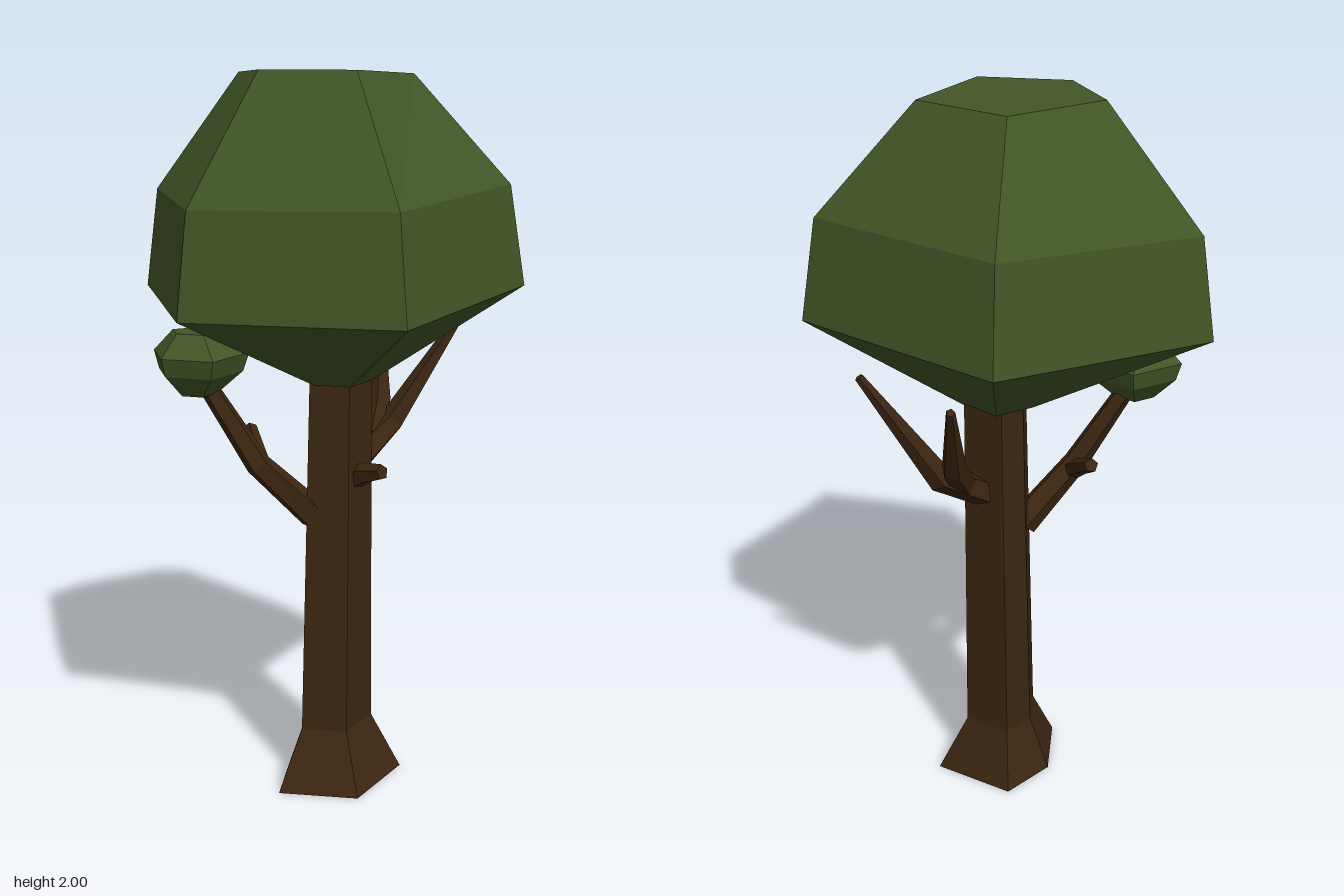
import * as THREE from 'three';

const bark = new THREE.MeshStandardMaterial({ color: 0x3c2611 });
bark.name = 'bark brown';
const leaf = new THREE.MeshStandardMaterial({ color: 0x425627 });
leaf.name = 'leaf green';

// Closed, faceted skin over a stack of rings (Vector3 lists of equal length)
function loft(rings) {
  const pos = [];
  const tri = (...pts) => pts.forEach((p) => pos.push(p.x, p.y, p.z));
  const n = rings[0].length;
  for (let k = 0; k < rings.length - 1; k++) {
    const a = rings[k], b = rings[k + 1];
    for (let i = 0; i < n; i++) {
      const j = (i + 1) % n;
      tri(a[i], b[i], a[j]);
      tri(a[j], b[i], b[j]);
    }
  }
  const low = rings[0], top = rings[rings.length - 1];
  for (let i = 1; i < n - 1; i++) {
    tri(low[0], low[i], low[i + 1]);
    tri(top[0], top[i + 1], top[i]);
  }
  const g = new THREE.BufferGeometry();
  g.setAttribute('position', new THREE.Float32BufferAttribute(pos, 3));
  g.computeVertexNormals();
  return g;
}

// Outline of [x, z] pairs, scaled and shifted, at height y(x)
const ring = (outline, y, scale = 1, dx = 0, dz = 0, tilt = 0) =>
  outline.map(([x, z]) => new THREE.Vector3(x * scale + dx, y + x * tilt, z * scale + dz));

// Tapering limb through points [x, y, z, radius]
function limb(path, sides = 5) {
  const pts = path.map((p) => new THREE.Vector3(p[0], p[1], p[2]));
  return loft(pts.map((c, k) => {
    const before = pts[Math.max(k - 1, 0)], after = pts[Math.min(k + 1, pts.length - 1)];
    const t = after.clone().sub(before).normalize();
    const u = new THREE.Vector3(0, 0, 1).addScaledVector(t, -t.z).normalize();
    const v = u.clone().cross(t);
    return Array.from({ length: sides }, (_, i) => {
      const a = (i / sides) * Math.PI * 2;
      return c.clone()
        .addScaledVector(u, Math.cos(a) * path[k][3])
        .addScaledVector(v, Math.sin(a) * path[k][3]);
    });
  }));
}

export function createModel() {
  const tree = new THREE.Group();
  tree.name = 'tree';
  const add = (name, geometry, material) => {
    const m = new THREE.Mesh(geometry, material);
    m.name = name;
    tree.add(m);
  };

  // Five-sided trunk with flared foot
  const foot = [[-0.145, 0], [0.03, -0.09], [0.19, -0.05], [0.2, 0.19], [-0.04, 0.2]];
  add('trunk', loft([
    ring(foot, 0),
    ring(foot, 0.17, 0.57, 0.0275, 0.016),
    ring(foot, 1.25, 0.475, 0.04, 0.025),
  ]), bark);

  // Forked limb on the left, with a short stub towards the front
  add('leftLimb', limb([[0.06, 0.9, 0.06, 0.045], [0.27, 1.03, 0.1, 0.038], [0.415, 1.34, 0.24, 0.012]]), bark);
  add('leftFork', limb([[0.2, 0.99, 0.08, 0.036], [0.29, 1.08, 0.045, 0.034], [0.41, 1.305, -0.035, 0.012]]), bark);
  add('frontStub', limb([[0.08, 0.89, 0.07, 0.038], [0.06, 0.93, 0.15, 0.03], [0.05, 0.945, 0.21, 0.022]]), bark);

  // Bent limb on the right, with a twig towards the back
  add('rightLimb', limb([[0.0, 0.8, 0.02, 0.045], [-0.13, 0.96, -0.075, 0.036], [-0.21, 1.2, -0.2, 0.026]]), bark);
  add('backTwig', limb([[-0.12, 0.94, -0.07, 0.03], [-0.07, 0.985, -0.13, 0.024], [-0.02, 1.025, -0.19, 0.02]]), bark);

  // Crown: tilted five-sided rings
  const wide = [[-0.1, -0.49], [0.47, -0.2], [0.375, 0.45], [-0.28, 0.485], [-0.47, -0.06]];
  const flatTop = [[-0.04, -0.2], [0.225, -0.085], [0.185, 0.205], [-0.12, 0.23], [-0.2, -0.01]];
  add('crown', loft([
    ring(wide, 1.18, 0.18, 0.05, 0.05),
    ring(wide, 1.42, 1, 0, 0, 0.045),
    ring(wide, 1.69, 0.92, 0, 0, 0.045),
    ring(flatTop, 1.995, 1, 0, 0, -0.02),
  ]), leaf);

  // Small leaf clump on the right limb
  const clump = (y, scale) => ring(wide, y, scale, -0.23, -0.21);
  add('leafClump', loft([clump(1.16, 0.1), clump(1.22, 0.22), clump(1.27, 0.25), clump(1.33, 0.13)]), leaf);

  return tree;
}
